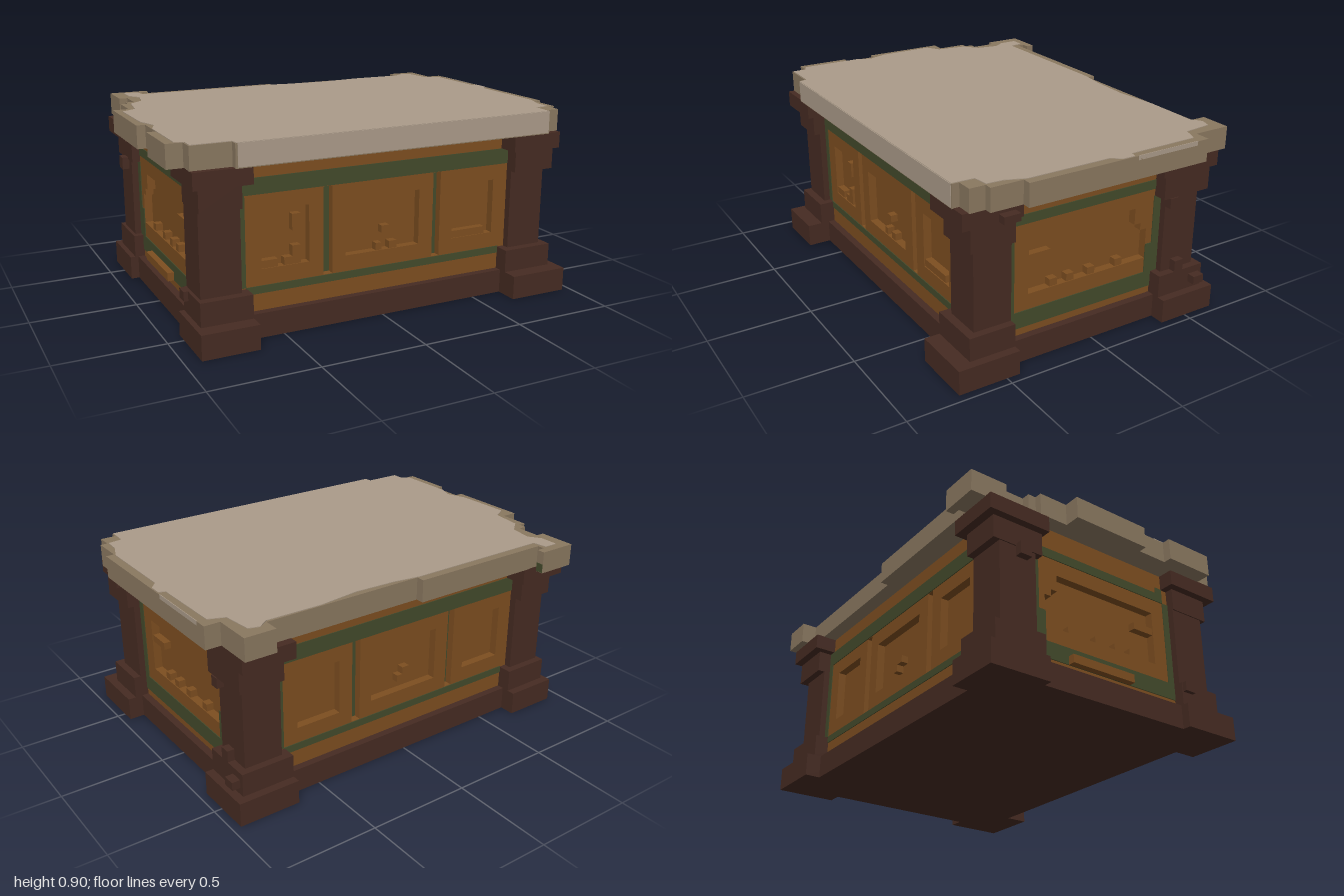
import * as THREE from 'three';

const mat = (name, color) => Object.assign(new THREE.MeshStandardMaterial({ color }), { name });

export function createModel() {
  const wood = mat('orange wood', 0x7d4e20);
  const dark = mat('dark wood', 0x462b22);
  const green = mat('green trim', 0x434a2b);
  const stone = mat('pale stone', 0xab9b89);
  const edge = mat('worn stone edge', 0x8a7860);

  const root = new THREE.Group();
  root.name = 'chest';

  // Box between two corners, given as ranges in any order
  function box(parent, name, m, x0, x1, y0, y1, z0, z1) {
    const g = new THREE.BoxGeometry(Math.abs(x1 - x0), Math.abs(y1 - y0), Math.abs(z1 - z0));
    const mesh = new THREE.Mesh(g, m);
    mesh.position.set((x0 + x1) / 2, (y0 + y1) / 2, (z0 + z1) / 2);
    mesh.name = name;
    parent.add(mesh);
    return mesh;
  }
  const toPath = (pts, P) => new P(pts.map(([x, y]) => new THREE.Vector2(x, y)));
  const rect = (a, b, c, d) => [[a, c], [b, c], [b, d], [a, d]];

  // Core and plinth
  box(root, 'core', wood, -0.81, 0.81, 0.03, 0.8, -0.51, 0.545);
  box(root, 'plinth', dark, -0.885, 0.885, 0, 0.115, -0.585, 0.62);

  // Wall with cut-out panels; strips are thin green plates on its face
  function wall(name, turn, face, x0, x1, holes, strips) {
    const g = new THREE.Group();
    g.name = name;
    g.rotation.y = turn;
    const shape = toPath(rect(x0, x1, 0.1, 0.8), THREE.Shape);
    shape.holes = holes.map(h => toPath(h, THREE.Path));
    const geo = new THREE.ExtrudeGeometry(shape, { depth: 0.04, bevelEnabled: false });
    const slab = new THREE.Mesh(geo, wood);
    slab.position.z = face - 0.04;
    slab.name = name + 'Boards';
    g.add(slab);
    for (const [a, b, c, d, sunk = 0] of strips)
      box(g, name + 'Trim', green, a, b, c, d, face - sunk - 0.002, face - sunk + 0.004);
    root.add(g);
    return g;
  }

  // Front and back: three panels split by sunken green dividers
  const longHoles = [
    rect(-0.59, -0.36, 0.305, 0.57), rect(-0.18, 0.205, 0.305, 0.57), rect(0.39, 0.62, 0.305, 0.57),
    rect(-0.29, -0.245, 0.232, 0.643), rect(0.28, 0.32, 0.232, 0.643),
  ];
  const longStrips = [
    [-0.7, 0.7, 0.645, 0.72], [-0.7, -0.665, 0.23, 0.645], [-0.665, 0.66, 0.195, 0.23],
    [-0.29, -0.245, 0.232, 0.643, 0.04], [0.28, 0.32, 0.232, 0.643, 0.04],
  ];
  const front = wall('frontWall', 0, 0.585, -0.74, 0.74, longHoles, longStrips);
  const back = wall('backWall', Math.PI, 0.55, -0.74, 0.74, longHoles, longStrips);

  // Blocks left standing inside the panels
  const blocks = [
    [-0.59, -0.51, 0.305, 0.34], [-0.44, -0.4, 0.34, 0.39], [-0.48, -0.4, 0.305, 0.34],
    [-0.44, -0.4, 0.46, 0.535], [0.01, 0.05, 0.385, 0.42], [0.05, 0.09, 0.305, 0.34],
    [-0.02, 0.01, 0.305, 0.34], [0.39, 0.58, 0.305, 0.34],
  ];
  for (const [a, b, c, d] of blocks) box(front, 'panelBlock', wood, a, b, c, d, 0.54, 0.58);
  box(back, 'panelBlock', wood, 0.01, 0.05, 0.385, 0.42, 0.505, 0.545);
  box(back, 'panelBlock', wood, -0.02, 0.01, 0.35, 0.385, 0.505, 0.545);

  // Sides: one broad stepped panel framed in green
  for (const s of [1, -1]) {
    const outline = [[-0.325, 0.305], [0.32, 0.305], [0.32, 0.455], [0.285, 0.455], [0.285, 0.49],
      [0.25, 0.49], [0.25, 0.57], [-0.325, 0.57]].map(([x, y]) => [x * s, y]);
    const strips = [
      [-0.4, 0.36, 0.645, 0.69], [-0.435, 0.395, 0.15, 0.23],
      [-0.435, -0.4, 0.23, 0.645], [0.355, 0.395, 0.23, 0.61], [0.32, 0.355, 0.23, 0.375],
      [-0.4, -0.36, 0.69, 0.72],
    ].map(([a, b, c, d]) => [a * s, b * s, c, d]);
    const side = wall(s > 0 ? 'leftWall' : 'rightWall', s * Math.PI / 2, 0.85,
      s > 0 ? -0.5 : -0.45, s > 0 ? 0.45 : 0.5, [outline], strips);
    for (const x of [-0.19, 0.015, 0.17, -0.1])
      box(side, 'panelBlock', wood, s * (x - 0.02), s * (x + 0.02), 0.305, 0.34, 0.805, 0.845);
    box(side, 'panelBlock', wood, s * -0.325, s * -0.21, 0.455, 0.49, 0.805, 0.845);
    if (s < 0) box(side, 'sideLedge', wood, -0.2, 0.15, 0.15, 0.19, 0.84, 0.885);
  }

  // Corner posts: stepped foot, shaft and stepped capital
  // Each layer: y0, y1, inner x, outer x (left, right), inner z (front, back), outer z (front, back)
  const layers = [
    ['foot', 0, 0.115, 0.66, [0.96, 0.925], [0.435, 0.36], [0.735, 0.66]],
    ['footStep', 0.115, 0.225, 0.66, [0.92, 0.9], [0.435, 0.36], [0.66, 0.62]],
    ['shaft', 0.225, 0.61, 0.697, [0.885, 0.885], [0.435, 0.395], [0.62, 0.585]],
    ['capitalStep', 0.61, 0.72, 0.697, [0.915, 0.89], [0.435, 0.36], [0.65, 0.62]],
    ['capital', 0.72, 0.797, 0.66, [0.92, 0.925], [0.4, 0.345], [0.69, 0.66]],
  ];
  for (const sx of [1, -1]) for (const sz of [1, -1]) {
    const post = new THREE.Group();
    post.name = (sz > 0 ? 'front' : 'back') + (sx > 0 ? 'Left' : 'Right') + 'Post';
    const i = sx > 0 ? 0 : 1, k = sz > 0 ? 0 : 1;
    for (const [name, y0, y1, xi, xo, zi, zo] of layers)
      box(post, name, dark, sx * xi, sx * xo[i], y0, y1, sz * zi[k], sz * zo[k]);
    root.add(post);
  }

  // Stone top with a chipped outline (x, z)
  const outline = [
    [-0.89, -0.735], [-0.7, -0.735], [-0.7, -0.695], [-0.74, -0.695], [-0.74, -0.66], [-0.015, -0.66],
    [-0.015, -0.62], [0.775, -0.62], [0.775, -0.695], [0.925, -0.695], [0.925, -0.51], [1, -0.51],
    [1, 0.43], [0.96, 0.43], [0.96, 0.585], [0.925, 0.585], [0.925, 0.66], [0.85, 0.66],
    [0.85, 0.695], [-0.74, 0.695], [-0.74, 0.66], [-0.925, 0.66], [-0.925, 0.585], [-1, 0.585],
    [-1, 0.325], [-0.96, 0.325], [-0.96, 0.165], [-1, 0.165], [-1, -0.245], [-0.925, -0.245],
    [-0.925, -0.39], [-0.89, -0.39], [-0.89, -0.43], [-0.85, -0.43], [-0.85, -0.55], [-0.89, -0.55],
  ];
  // Unworn area of the upper face (x, z)
  const cap = [
    [-0.83, -0.69], [-0.76, -0.69], [-0.75, -0.62], [-0.03, -0.62], [0.1, -0.6], [0.3, -0.59],
    [0.5, -0.615], [0.77, -0.61], [0.82, -0.645], [0.87, -0.63], [0.885, -0.49], [0.96, -0.46],
    [0.965, -0.11], [0.995, -0.1], [0.995, -0.04], [0.96, 0], [0.96, 0.41], [0.925, 0.5],
    [0.92, 0.58], [0.85, 0.59], [0.845, 0.694], [-0.735, 0.694], [-0.74, 0.655], [-0.92, 0.655],
    [-0.92, 0.59], [-0.96, 0.57], [-0.96, 0.27], [-0.93, 0.2], [-0.95, 0.14], [-0.965, 0.1],
    [-0.97, -0.18], [-0.9, -0.22], [-0.88, -0.37], [-0.81, -0.43], [-0.79, -0.54], [-0.83, -0.6],
  ];
  function slab(name, m, pts, y, h) {
    const shape = toPath(pts.map(([x, z]) => [x, -z]), THREE.Shape);
    const geo = new THREE.ExtrudeGeometry(shape, { depth: h, bevelEnabled: false });
    geo.rotateX(-Math.PI / 2);
    const mesh = new THREE.Mesh(geo, m);
    mesh.position.y = y;
    mesh.name = name;
    root.add(mesh);
  }
  slab('tableTop', edge, outline, 0.795, 0.107);
  slab('tableTopFace', stone, cap, 0.901, 0.004);

  // Pale front edge, pale patch on one side and a green fleck at the back corner
  box(root, 'frontEdgeFace', stone, -0.73, 0.845, 0.8, 0.903, 0.692, 0.698);
  box(root, 'sideEdgePatch', stone, 0.997, 1, 0.882, 0.903, -0.45, -0.12);
  box(root, 'cornerFleck', green, -0.702, -0.698, 0.797, 0.84, -0.734, -0.697);

  // Loose chips on the posts
  const chips = [
    [0.88, 0.96, 0.725, 0.76, 0.44, 0.52], [0.9, 0.96, 0.15, 0.19, -0.6, -0.54],
    [-0.92, -0.88, 0.18, 0.225, 0.44, 0.5], [-0.92, -0.88, 0.56, 0.62, -0.5, -0.44],
    [0.87, 0.92, 0.225, 0.28, -0.5, -0.45], [0.87, 0.92, 0.56, 0.61, -0.44, -0.395],
  ];
  for (const c of chips) box(root, 'postChip', dark, ...c);

  return root;
}
